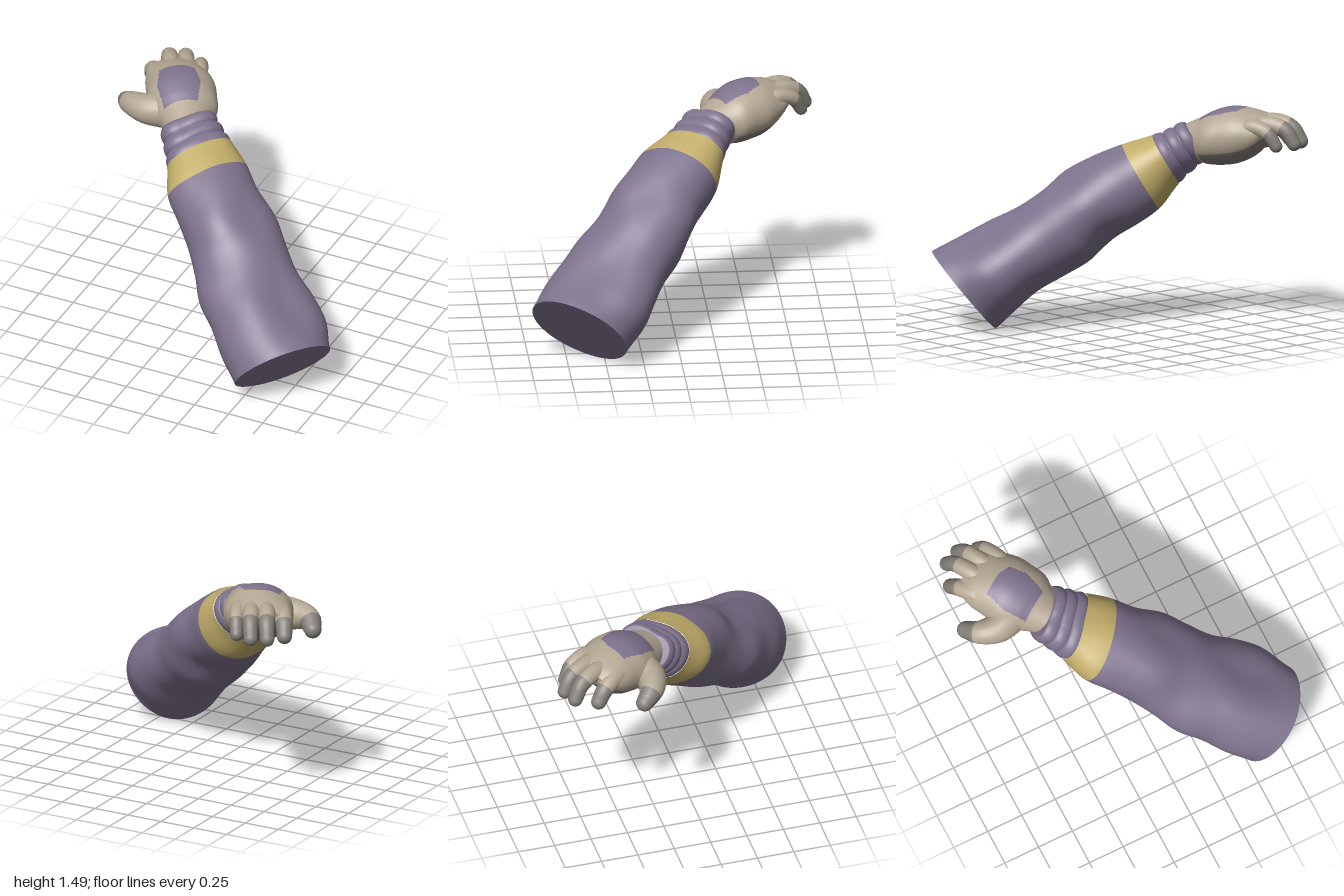
import * as THREE from 'three';

const mat = (name, color) => Object.assign(new THREE.MeshStandardMaterial({ color }), { name });
const V = (x, y, z) => new THREE.Vector3(x, y, z);
const clamp = (x) => Math.min(Math.max(x, 0), 1);

// Catmull-Rom sampling of a table of rows at fractional index f
function sample(rows, f) {
  const n = rows.length - 1;
  const i = Math.min(Math.max(Math.floor(f), 0), n - 1), t = f - i;
  const a = rows[Math.max(i - 1, 0)], b = rows[i], c = rows[i + 1], d = rows[Math.min(i + 2, n)];
  return b.map((_, k) => 0.5 * (2 * b[k] + (c[k] - a[k]) * t +
    (2 * a[k] - 5 * b[k] + 4 * c[k] - d[k]) * t * t +
    (3 * b[k] - a[k] - 3 * c[k] + d[k]) * t * t * t));
}

// Skin over closed rings of points; pick(i, j) chooses the material of a quad
function loft(name, rings, materials, pick = () => 0) {
  const n = rings[0].length, faces = materials.map(() => []);
  for (let i = 0; i < rings.length - 1; i++) {
    for (let j = 0; j < n; j++) {
      const a = i * n + j, b = i * n + (j + 1) % n;
      faces[pick(i, j)].push(a, b, a + n, b, b + n, a + n);
    }
  }
  const g = new THREE.BufferGeometry().setFromPoints(rings.flat());
  g.setIndex(faces.flat());
  let start = 0;
  faces.forEach((f, k) => { g.addGroup(start, f.length, k); start += f.length; });
  g.computeVertexNormals();
  const mesh = new THREE.Mesh(g, materials.length > 1 ? materials : materials[0]);
  mesh.name = name;
  return mesh;
}

// ---- Sleeve: six radii round the forearm axis, one row every 0.2 along it ----
const SLEEVE = [
  [.325, .345, .34, .315, .335, .335],
  [.272, .395, .325, .288, .355, .323],
  [.238, .378, .298, .292, .345, .298],
  [.24, .335, .315, .30, .355, .26],
  [.249, .335, .33, .305, .31, .245],
  [.238, .338, .285, .308, .28, .272],
  [.23, .295, .31, .292, .28, .24],
  [.195, .285, .312, .278, .28, .19],
  [.13, .245, .24, .24, .2, .125],
  [.10, .215, .222, .205, .16, .08],
  [.06, .19, .205, .17, .13, .05],
];
const elbow = V(.735, .26, .68), axis = V(-.636, .578, -.51).normalize();
const e1 = V(.67, .74, 0).normalize(), e2 = axis.clone().cross(e1).normalize();
const endNormal = V(.62, -.64, .46).normalize();

function sleeveRing(s, scale = 1) {
  const r = sample(SLEEVE, s / .2), N = 72;
  const wrap = [-1, 0, 1, 2, 3, 4, 5, 6, 7].map(k => [r[(k + 6) % 6]]);
  // centre of this section, so that scaling keeps it in place
  const cu = (r[0] - r[3]) / 2, cw = (r[1] + r[2] - r[4] - r[5]) / 3.46;
  // the open end is cut slightly askew, and the band leans a little
  const cut = 1 - clamp(s / .4), lean = .025 * Math.sin(Math.PI * clamp((s - 1) / .85));
  return Array.from({ length: N }, (_, j) => {
    const a = j / N * Math.PI * 2, q = sample(wrap, 1 + j / N * 6)[0];
    const x = cu + (q * Math.cos(a) - cu) * scale, y = cw + (q * Math.sin(a) - cw) * scale;
    const p = V(0, 0, 0).addScaledVector(e1, x).addScaledVector(e2, y);
    const slide = -cut * p.dot(endNormal) / axis.dot(endNormal) + lean * Math.cos(a);
    return p.add(elbow).addScaledVector(axis, s + slide);
  });
}
const span = (a, b, n, f) => Array.from({ length: n + 1 }, (_, i) => f(a + (b - a) * i / n));
const collapse = (ring) => {
  const c = ring.reduce((s, p) => s.add(p), V(0, 0, 0)).divideScalar(ring.length);
  return ring.map(() => c.clone());
};

// ---- Hand frame: heading, side (towards little finger), height ----
const HEAD = V(-.525, 0, -.851), SIDE = V(.851, 0, -.525);
const handPoint = (t, s, y) => V(-.43, y, -.3).addScaledVector(HEAD, t).addScaledVector(SIDE, s);

// Palm sections: along, side offset, half width, top, bottom
const PALM = [
  [-.08, 0, .12, 1.36, 1.15],
  [.04, 0, .172, 1.415, 1.125],
  [.12, 0, .215, 1.46, 1.11],
  [.22, -.01, .232, 1.495, 1.11],
  [.32, -.008, .23, 1.502, 1.13],
  [.42, -.02, .215, 1.482, 1.18],
  [.50, -.025, .19, 1.455, 1.26],
  [.56, -.025, .13, 1.42, 1.33],
];

function buildPalm(beige, grey, purple) {
  const N = 160, M = 120;
  const rows = span(0, PALM.length - 1, M, f => sample(PALM, f));
  const rings = rows.map(([t, c, w, top, bot]) => Array.from({ length: N }, (_, j) => {
    const a = j / N * Math.PI * 2;
    return handPoint(t, c + w * Math.sin(a), (top + bot) / 2 + (top - bot) / 2 * Math.cos(a));
  }));
  rings.unshift(collapse(rings[0]));
  rings.push(collapse(rings[M + 1]));
  // purple patch on the back, grey pad below
  const pick = (i, j) => {
    const [t, c, w] = rows[Math.min(Math.max(i - 1, 0), M)];
    const a = (j + .5) / N * Math.PI * 2, s = c + w * Math.sin(a), up = Math.cos(a);
    const edge = .035 * Math.min(1, Math.abs(t - .2) / .16);
    if (up > 0 && t > .05 && t < .35 - Math.max(0, s) * .4 && s > -.18 + edge && s < .11 - edge) return 2;
    return up < -.45 && t > .08 ? 1 : 0;
  };
  return loft('palm', rings, [beige, grey, purple], pick);
}

// Rounded finger along a curve; its far part from `split` on is grey
function digit(name, points, r0, r1, ref, split, materials) {
  const curve = new THREE.CatmullRomCurve3(points), N = 20, M = 24, rings = [];
  const ring = (u, r, push = 0) => {
    const T = curve.getTangentAt(u), a1 = ref.clone().cross(T).normalize(), a2 = T.clone().cross(a1);
    const c = curve.getPointAt(u).addScaledVector(T, push);
    rings.push(Array.from({ length: N }, (_, j) => {
      const a = j / N * Math.PI * 2;
      return c.clone().addScaledVector(a1, r * Math.cos(a)).addScaledVector(a2, r * Math.sin(a));
    }));
  };
  for (let i = 0; i <= M; i++) ring(i / M, r0 + (r1 - r0) * i / M);
  for (let k = 1; k <= 8; k++) {
    const a = k / 8 * Math.PI / 2;
    ring(1, r1 * Math.cos(a), r1 * Math.sin(a));
  }
  return loft(name, rings, materials, i => (i / M >= split ? 1 : 0));
}

export function createModel() {
  const purple = mat('purpleCloth', 0x7e738d), yellow = mat('yellowBand', 0xc2ad6a);
  const beige = mat('beigeGlove', 0xb3a693), grey = mat('greyPad', 0x837e78);
  const model = new THREE.Group();

  // Sleeve, its flat end, and the coloured band
  const end = sleeveRing(0);
  model.add(
    loft('sleeve', span(0, 1.385, 64, s => sleeveRing(s)), [purple]),
    loft('sleeveEnd', [collapse(end), end], [purple]),
    loft('band', span(1.385, 1.59, 12, s => sleeveRing(s)), [yellow]),
  );

  // Cuff of three soft rolls, closed at the wrist
  const cuff = span(1.575, 1.835, 48, s =>
    sleeveRing(s, .91 + .1 * Math.sqrt(Math.abs(Math.sin(Math.PI * (s - 1.575) / .0867)))));
  cuff.push(collapse(cuff[48]));
  model.add(loft('cuff', cuff, [purple]));

  // Hand
  const hand = new THREE.Group();
  hand.name = 'hand';
  hand.add(buildPalm(beige, grey, purple));
  const fingers = [ // name, root side, tip along, tip side, radius, drop
    ['indexFinger', -.145, .62, -.168, .06, .035],
    ['middleFinger', -.055, .72, -.05, .057, 0],
    ['ringFinger', .04, .706, .058, .055, 0],
    ['littleFinger', .115, .61, .148, .049, .01],
  ];
  for (const [name, s0, t1, s1, r, drop] of fingers) {
    hand.add(digit(name, [
      handPoint(.36, s0, 1.375 - drop / 2),
      handPoint(t1 - .17, (s0 + s1) / 2, 1.405 - drop),
      handPoint(t1 - .06, s1, 1.372 - drop),
      handPoint(t1, s1, 1.285 - drop / 2),
    ], r * 1.2, r * .85, SIDE, .66, [beige, grey]));
  }
  hand.add(digit('thumb', [
    V(-.6, 1.27, -.4), V(-.75, 1.27, -.34), V(-.87, 1.265, -.365), V(-.94, 1.225, -.435),
  ], .135, .058, V(0, 1, 0), .76, [beige, grey]));
  model.add(hand);
  return model;
}
